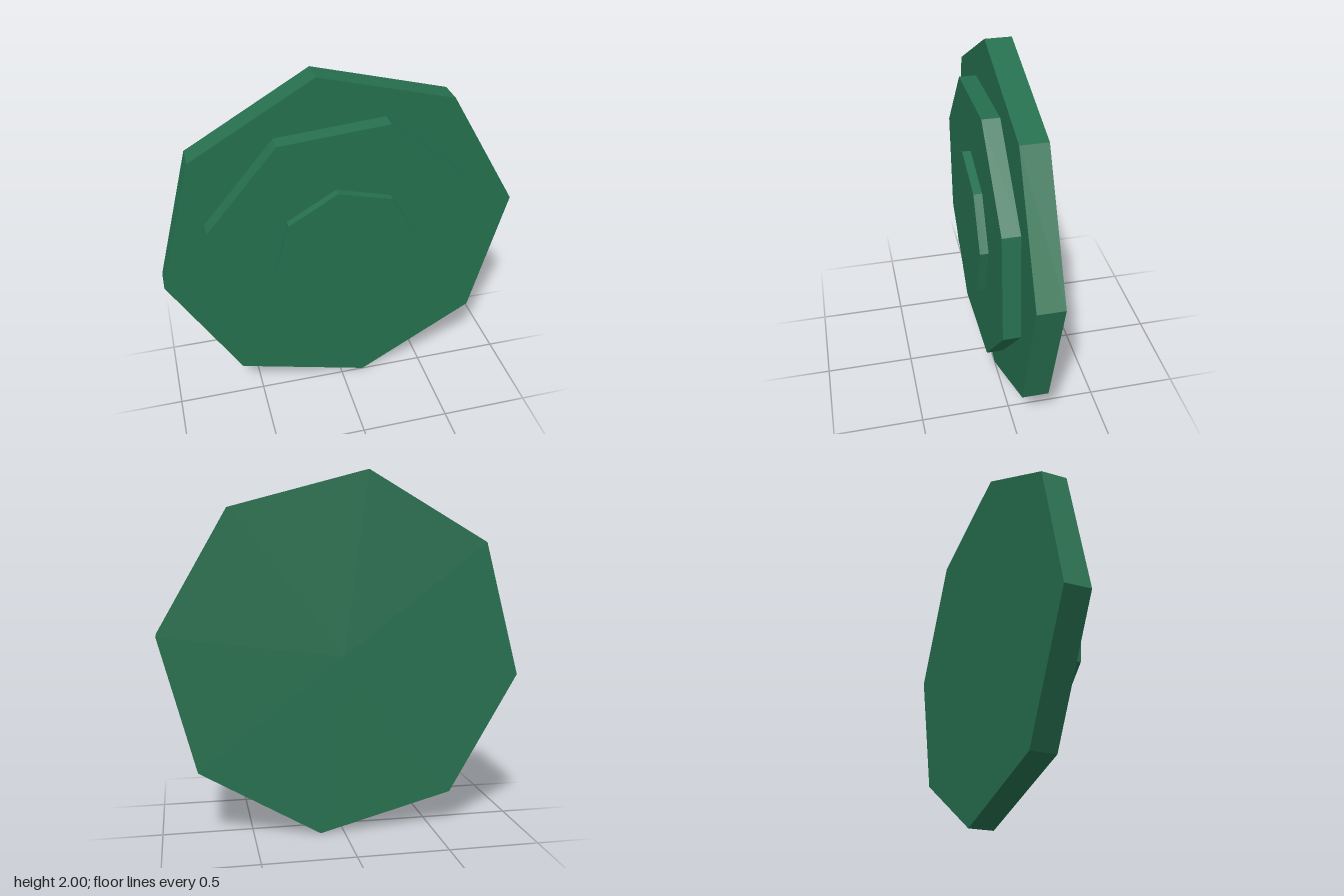
import * as THREE from 'three';

export function createModel() {
  const group = new THREE.Group();
  const green = new THREE.MeshStandardMaterial({ color: 0x26704f, flatShading: true });
  green.name = 'deep green';

  // Upright octagonal plate from zBack to zFront, first corner turned by the given degrees
  function plate(name, radius, zBack, zFront, degrees, x = 0) {
    const geometry = new THREE.CylinderGeometry(radius, radius, zFront - zBack, 8);
    geometry.rotateX(Math.PI / 2);
    geometry.rotateZ(THREE.MathUtils.degToRad(degrees));
    const mesh = new THREE.Mesh(geometry, green);
    mesh.name = name;
    mesh.position.set(x, 1, (zBack + zFront) / 2);
    group.add(mesh);
  }

  // Three stacked tiers, stepping towards the front
  plate('basePlate', 1.007, -0.142, 0, 7.6);
  plate('middlePlate', 0.781, 0, 0.094, 27.2, -0.004);
  plate('centrePlate', 0.407, 0.094, 0.14, 7.6, -0.002);

  return group;
}
